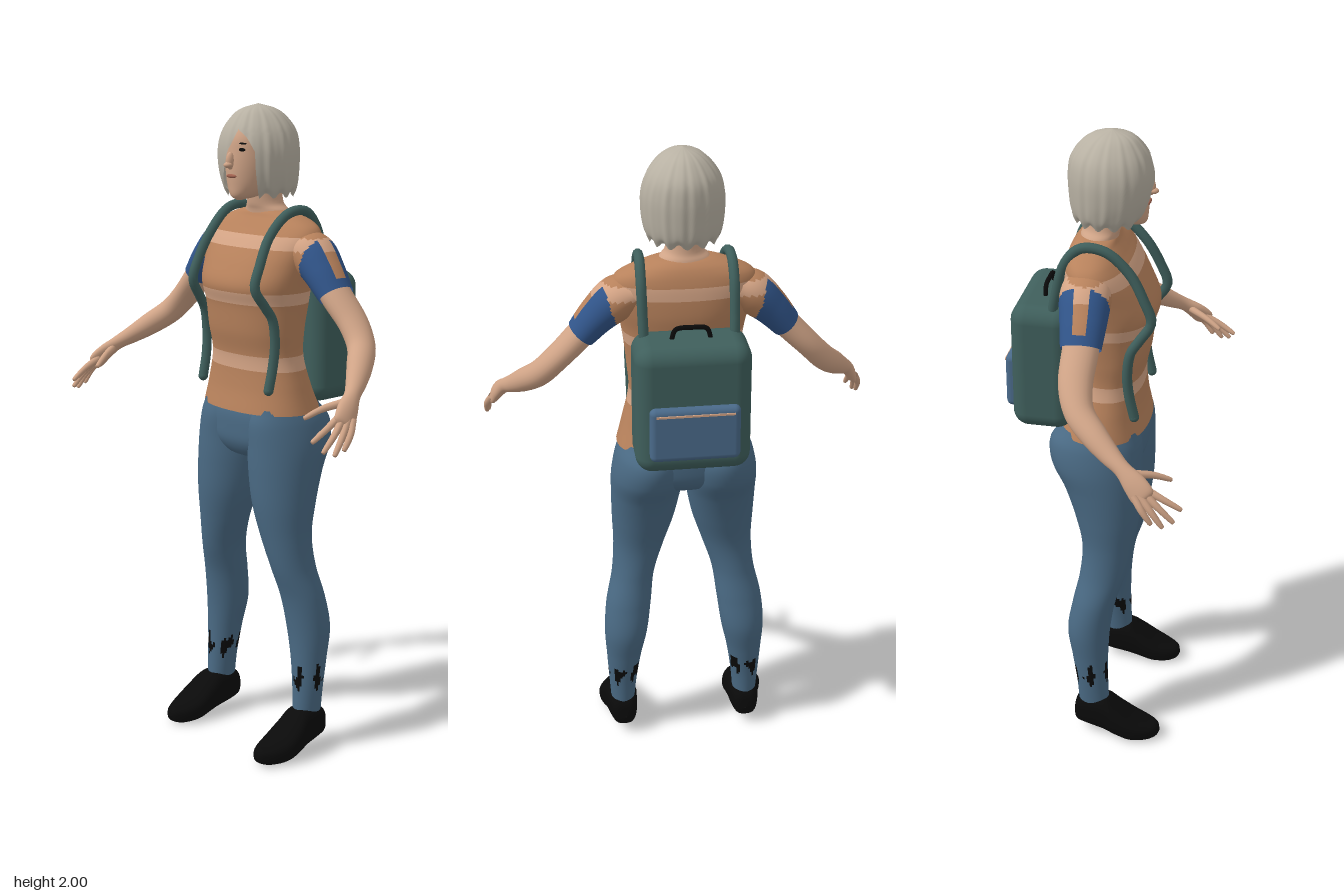
import * as THREE from 'three';
import { RoundedBoxGeometry } from 'three/addons/geometries/RoundedBoxGeometry.js';

const mat = (name, color) => {
  const m = new THREE.MeshStandardMaterial({ color, side: THREE.DoubleSide });
  m.name = name;
  return m;
};
const V = (x, y, z) => new THREE.Vector3(x, y, z);
const clamp = THREE.MathUtils.clamp;

// Smooth skin over elliptical sections. Keys: [x, y, z, radiusA, radiusB].
// upright: sections stay horizontal; pick(point, angle, t): material slot of a face;
// span(y): [start, end] angles of an open skin; warp(point, angle, t): moves a vertex.
function loft(keys, { rows = 40, sides = 32, upright = false, power = 2, pick, span, warp } = {}) {
  const centre = new THREE.CatmullRomCurve3(keys.map(k => V(k[0], k[1], k[2])), false, 'catmullrom', 0.5);
  const radius = new THREE.CatmullRomCurve3(keys.map(k => V(k[3], k[4], 0)), false, 'catmullrom', 0.5);
  const pos = [], slots = [];
  const bend = v => Math.sign(v) * Math.abs(v) ** (2 / power);
  const cols = span ? sides + 1 : sides;
  const angleAt = (j, y) => {
    const [a, b] = span ? span(y) : [0, Math.PI * 2];
    return a + (b - a) * j / sides;
  };
  for (let i = 0; i <= rows; i++) {
    const t = i / rows, c = centre.getPoint(t), r = radius.getPoint(t);
    const T = upright ? V(0, 1, 0) : centre.getTangent(t);
    const B = V(0, 0, 1).addScaledVector(T, -T.z).normalize();
    const A = T.clone().cross(B);
    for (let j = 0; j < cols; j++) {
      const a = angleAt(j, c.y);
      const p = c.clone().addScaledVector(A, r.x * bend(Math.cos(a))).addScaledVector(B, r.y * bend(Math.sin(a)));
      if (warp) warp(p, a, t);
      pos.push(p.x, p.y, p.z);
    }
  }
  for (let i = 0; i < rows; i++) for (let j = 0; j < sides; j++) {
    const k = (j + 1) % cols;
    const a = i * cols + j, b = a + cols, c = i * cols + k, d = c + cols;
    const mid = V(0, 0, 0);
    for (const q of [a, b, c, d]) mid.add(V(pos[q * 3], pos[q * 3 + 1], pos[q * 3 + 2]).multiplyScalar(0.25));
    const s = pick ? pick(mid, Math.PI * 2 * (j + 0.5) / sides, (i + 0.5) / rows) : 0;
    (slots[s] ??= []).push(a, b, c, b, d, c);
  }
  const g = new THREE.BufferGeometry();
  g.setAttribute('position', new THREE.Float32BufferAttribute(pos, 3));
  g.setIndex(slots.flat());
  let start = 0;
  if (pick) slots.forEach((list, s) => { g.addGroup(start, list.length, s); start += list.length; });
  g.computeVertexNormals();
  return g;
}

// Upright loft from bounds: [y, xMin, xMax, zFront, zBack], bottom to top
const stack = (rows, opts) => loft(rows.map(([y, a, b, f, k]) =>
  [(a + b) / 2, y, (f + k) / 2, (b - a) / 2, (f - k) / 2]), { upright: true, ...opts });
const even = rows => rows.map(([y, w, f, k]) => [y, -w, w, f, k]);

function mirrored(geo) {
  const g = geo.clone().scale(-1, 1, 1), ix = g.index;
  for (let i = 0; i < ix.count; i += 3) {
    const t = ix.getX(i);
    ix.setX(i, ix.getX(i + 2));
    ix.setX(i + 2, t);
  }
  return g;
}

export function createModel() {
  const shirt = mat('shirt', 0xb8825c), stripe = mat('shirt stripe', 0xd4a485), blue = mat('sleeve blue', 0x31558a);
  const denim = mat('denim', 0x4a6a84), green = mat('pack green', 0x3f5f5c), pocketBlue = mat('pocket blue', 0x4a6a8a);
  const skin = mat('skin', 0xd0a487), hairGrey = mat('hair', 0xb8b1a3), black = mat('black', 0x0a0a0a);
  const lip = mat('lips', 0xa0624f);

  const model = new THREE.Group();
  const add = (name, geo, material) => {
    const m = new THREE.Mesh(geo, material);
    m.name = name;
    model.add(m);
  };
  const pair = (name, geo, material) => {
    add(name + 'Left', geo, material);
    add(name + 'Right', mirrored(geo), material);
  };
  const blob = (x, y, z, a, b, c) => new THREE.SphereGeometry(1, 16, 10).scale(a, b, c).translate(x, y, z);

  // Striped shirt
  const bands = [[1.21, 1.255], [1.42, 1.452], [1.58, 1.617]];
  const shirtSlot = p => bands.some(([a, b]) => p.y > a && p.y < b) ? 1 : 0;
  add('shirt', stack(even([
    [1.085, 0.207, 0.122, -0.15], [1.16, 0.187, 0.107, -0.118], [1.25, 0.166, 0.102, -0.097],
    [1.33, 0.17, 0.118, -0.1], [1.41, 0.178, 0.128, -0.115], [1.47, 0.187, 0.142, -0.125],
    [1.53, 0.2, 0.118, -0.133], [1.6, 0.215, 0.075, -0.13], [1.64, 0.2, 0.045, -0.122],
    [1.667, 0.15, 0.025, -0.11], [1.683, 0.1, 0.015, -0.095], [1.69, 0.06, 0, -0.08],
  ]), { rows: 110, sides: 48, power: 2.3, pick: shirtSlot }), [shirt, stripe]);

  // Sleeves: blue with a shirt-coloured strip along the top
  pair('sleeve', loft([
    [0.15, 1.59, -0.04, 0.05, 0.07], [0.2, 1.565, -0.038, 0.065, 0.075],
    [0.255, 1.515, -0.033, 0.056, 0.068], [0.305, 1.457, -0.03, 0.046, 0.059],
  ], {
    rows: 40, sides: 40,
    pick: (p, a, t) => p.x - 0.19 < (p.y - 1.45) * 0.3 || (Math.abs(a - Math.PI) < 0.3 && t < 0.88) ? shirtSlot(p) : 2,
  }), [shirt, stripe, blue]);

  // Arms and hands
  pair('arm', loft([
    [0.24, 1.53, -0.034, 0.04, 0.05], [0.305, 1.457, -0.03, 0.041, 0.053], [0.375, 1.385, -0.03, 0.038, 0.05],
    [0.43, 1.325, -0.008, 0.038, 0.043], [0.475, 1.28, 0.045, 0.035, 0.038], [0.51, 1.245, 0.095, 0.027, 0.03],
    [0.535, 1.22, 0.135, 0.021, 0.024], [0.555, 1.19, 0.172, 0.019, 0.033],
    [0.57, 1.16, 0.2, 0.014, 0.034], [0.576, 1.15, 0.21, 0.002, 0.015],
  ], { rows: 50, sides: 24 }), skin);
  const fingers = {
    thumb: [[0.53, 1.205, 0.16], [0.5, 1.19, 0.215], [0.478, 1.168, 0.26]],
    indexFinger: [[0.552, 1.175, 0.2], [0.555, 1.15, 0.25], [0.55, 1.12, 0.3]],
    middleFinger: [[0.563, 1.17, 0.2], [0.574, 1.135, 0.24], [0.575, 1.093, 0.283]],
    ringFinger: [[0.572, 1.165, 0.19], [0.587, 1.125, 0.225], [0.591, 1.083, 0.256]],
    littleFinger: [[0.577, 1.165, 0.175], [0.594, 1.13, 0.2], [0.596, 1.093, 0.225]],
  };
  for (const [name, [a, b, c]] of Object.entries(fingers)) {
    const end = c.map((v, i) => v + (c[i] - b[i]) * 0.08);
    pair(name, loft([[...a, 0.012, 0.012], [...b, 0.01, 0.01], [...c, 0.007, 0.007], [...end, 0.001, 0.001]],
      { rows: 14, sides: 10 }), skin);
  }

  // Trousers
  add('hips', stack(even([
    [0.925, 0.02, 0.03, -0.03], [0.94, 0.12, 0.08, -0.1], [0.98, 0.2, 0.108, -0.14], [1.03, 0.213, 0.113, -0.152],
    [1.08, 0.2, 0.11, -0.148], [1.13, 0.18, 0.09, -0.11],
  ]), { rows: 24, sides: 48, power: 2.2 }), denim);
  // ragged black sock showing at the ankle
  const sockSlot = (p, a) => Math.abs(p.y - 0.24 - 0.012 * Math.sin(7 * a)) <
    0.036 * (0.3 + 0.6 * Math.sin(5 * a + 1) + 0.35 * Math.sin(11 * a)) ? 1 : 0;
  pair('trouserLeg', stack([
    [0.11, 0.167, 0.243, 0.03, -0.068], [0.2, 0.158, 0.249, 0.026, -0.075], [0.3, 0.143, 0.255, 0.025, -0.09],
    [0.4, 0.122, 0.26, 0.03, -0.105], [0.5, 0.108, 0.252, 0.045, -0.09], [0.6, 0.094, 0.23, 0.075, -0.07],
    [0.7, 0.062, 0.222, 0.095, -0.066], [0.8, 0.03, 0.225, 0.11, -0.09], [0.9, 0.01, 0.227, 0.115, -0.125],
    [0.98, 0, 0.226, 0.115, -0.165], [1.05, 0, 0.213, 0.113, -0.17], [1.1, 0.02, 0.193, 0.1, -0.13],
  ], { rows: 120, sides: 44, pick: sockSlot }), [denim, black]);

  // Shoes: sections along the foot [z, xMin, xMax, -yBottom, -yTop], laid forward
  pair('shoe', stack([
    [-0.085, 0.198, 0.204, -0.07, -0.075], [-0.075, 0.172, 0.236, -0.04, -0.12], [-0.04, 0.16, 0.25, -0.03, -0.14],
    [0.02, 0.155, 0.262, -0.02, -0.142], [0.06, 0.153, 0.273, -0.012, -0.115], [0.11, 0.152, 0.275, -0.002, -0.08],
    [0.16, 0.165, 0.258, -0.002, -0.06], [0.19, 0.186, 0.235, -0.01, -0.05], [0.2, 0.207, 0.213, -0.025, -0.03],
  ], { rows: 36, sides: 32, power: 2.8 }).rotateX(Math.PI / 2), black);

  // Neck and head
  add('neck', stack(even([
    [1.64, 0.1, 0.015, -0.1], [1.685, 0.076, 0.02, -0.092], [1.715, 0.054, 0.028, -0.082], [1.8, 0.052, 0.035, -0.08],
  ]), { rows: 16 }), skin);
  add('head', stack(even([
    [1.72, 0.004, 0.085, 0.06], [1.733, 0.036, 0.102, 0], [1.765, 0.06, 0.107, -0.04], [1.81, 0.073, 0.11, -0.07],
    [1.86, 0.08, 0.108, -0.09], [1.91, 0.08, 0.1, -0.09], [1.95, 0.06, 0.07, -0.07], [1.97, 0.001, 0.001, -0.001],
  ])), skin);
  add('nose', blob(0, 1.837, 0.112, 0.012, 0.026, 0.014), skin);
  add('noseTip', blob(0, 1.825, 0.12, 0.013, 0.009, 0.015), skin);
  add('mouth', blob(0, 1.792, 0.108, 0.022, 0.006, 0.006), lip);
  pair('eye', blob(0.036, 1.87, 0.098, 0.014, 0.005, 0.005), black);
  pair('eyebrow', blob(0.038, 1.888, 0.097, 0.018, 0.0025, 0.004), black);

  // Bobbed hair, parted on its left and swept across the face
  add('hair', stack(even([
    [1.735, 0.1, 0.085, -0.105], [1.76, 0.112, 0.102, -0.118], [1.81, 0.12, 0.117, -0.124], [1.87, 0.12, 0.121, -0.126],
    [1.92, 0.106, 0.11, -0.118], [1.96, 0.078, 0.085, -0.09], [1.985, 0.046, 0.055, -0.055], [2, 0.001, 0.001, -0.001],
  ]), {
    rows: 48, sides: 120,
    span: y => [
      Math.PI / 2 - 0.25 + 0.7 * clamp((1.925 - y) / 0.17, 0, 1),
      Math.PI * 2.5 - 0.25 - 0.5 * Math.sqrt(clamp((1.925 - y) / 0.06, 0, 1)),
    ],
    warp: (p, a, t) => {
      const s = 1 + 0.012 * Math.sin(a * 17) + 0.006 * Math.sin(a * 29);
      p.x *= s;
      p.z *= s;
      p.y += 0.008 * Math.sin(a * 13) * Math.max(0, 1 - t * 5);
    },
  }), hairGrey);

  // Backpack
  add('backpack', new RoundedBoxGeometry(0.34, 0.4, 0.185, 6, 0.05).translate(0, 1.295, -0.187), green);
  add('backpackPocket', new RoundedBoxGeometry(0.265, 0.17, 0.05, 4, 0.018).translate(0, 1.235, -0.277), pocketBlue);
  add('pocketZip', new THREE.BoxGeometry(0.23, 0.006, 0.007).translate(0, 1.3, -0.302), stripe);
  const tube = (pts, r) => new THREE.TubeGeometry(
    new THREE.CatmullRomCurve3(pts.map(p => V(...p))), 64, r, 10);
  add('backpackHandle', tube([[-0.058, 1.485, -0.19], [-0.045, 1.522, -0.19], [0, 1.527, -0.19],
    [0.045, 1.522, -0.19], [0.058, 1.485, -0.19]], 0.007), black);
  const strapPath = [
    [0.132, 1.46, -0.155], [0.134, 1.53, -0.142], [0.135, 1.64, -0.112], [0.134, 1.688, -0.065], [0.132, 1.682, 0.005],
    [0.13, 1.62, 0.075], [0.137, 1.54, 0.12], [0.14, 1.475, 0.142], [0.148, 1.42, 0.11], [0.154, 1.38, 0.085],
    [0.155, 1.31, 0.075], [0.152, 1.24, 0.08], [0.15, 1.165, 0.096],
  ];
  pair('shoulderStrap', tube(strapPath, 0.015), green);
  pair('strapEnd', blob(...strapPath.at(-1), 0.015, 0.015, 0.015), green);

  return model;
}
